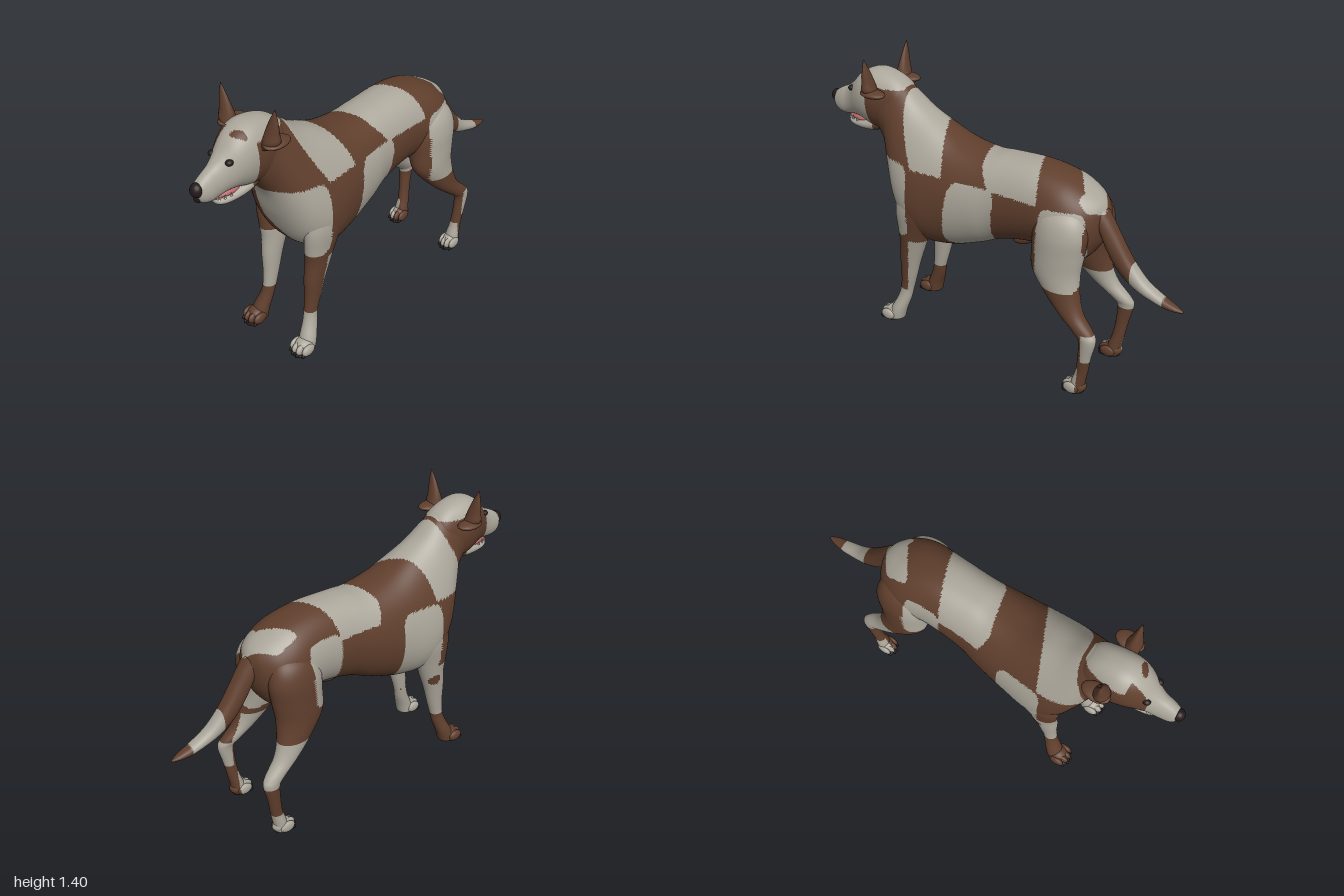
import * as THREE from 'three';

const mat = (name, color) => {
  const m = new THREE.MeshStandardMaterial({ color });
  m.name = name;
  return m;
};

// Rounded coat patches: centre xyz, half size xyz, slant of z along x, slant of z along y
const PATCHES = [
  [0.13, 0.735, 0.52, 0.20, 0.195, 0.125, 0, 0],        // chest
  [0.20, 0.73, 0.06, 0.17, 0.185, 0.122, 0, -0.15],     // left flank
  [0.20, 0.72, -0.438, 0.14, 0.195, 0.108, 0, 0],       // left thigh
  [-0.02, 0.985, -0.51, 0.10, 0.09, 0.065, -0.7, 0],    // rump
  [0.045, 0.945, -0.54, 0.06, 0.038, 0.05, 0, 0],       // tail root
  [-0.20, 0.79, -0.27, 0.15, 0.16, 0.095, 0, 0],        // right flank
  [-0.22, 0.70, 0.29, 0.11, 0.21, 0.12, 0, 0],          // right shoulder
  [0, 0.49, 0.34, 0.085, 0.045, 0.09, 0, 0],            // belly
];
const inPatch = (x, y, z) => PATCHES.some(([cx, cy, cz, hx, hy, hz, sx, sy]) => {
  const dx = x - cx, dy = y - cy, dz = z - cz - sx * dx - sy * dy;
  return (dx / hx) ** 6 + (dy / hy) ** 6 + (dz / hz) ** 6 < 1;
});

// True where the coat is pale
function torsoCoat(x, y, z) {
  if (z > 0.42 && y > 0.53 && y < 0.64 - 0.9 * x) return false;
  const lean = 0.05 + (x > 0 ? 1.6 : 2.9) * x;
  const neck = y > 0.915 && z > 0.29 - 0.47 * x && z < 0.5 - (1.25 - y) * lean;
  const back = y > 0.91 && z < 0.045 - 0.27 * x - 0.5 * Math.max(0, 1 - y) && z > -0.245 - 0.4 * x;
  return neck || back || inPatch(x, y, z);
}
function headCoat(x, y, z) {
  const streak = ((x - 0.045) / 0.035) ** 2 + ((z - 0.755 + 0.4 * (x - 0.045)) / 0.018) ** 2 < 1 && y > 1.2;
  if (streak) return false;
  if (y > 1.237 && z > 0.518 && z < 0.74) return true;
  if (x < -0.04 && z < 0.84) return false;
  return z > 0.71;
}
const tailCoat = (x, y, z) => z < -0.74 && z > -0.905;
function foreCoat(x, y, z) {
  if (y > 0.54) return torsoCoat(x, y, z);
  if (x < 0) return y > 0.2 && !(x < -0.16 && Math.hypot(y - 0.45, z - 0.4) < 0.032);
  return y < 0.2 || (y < 0.52 && (z < 0.475 - 0.14 * y || x < 0.11));
}
function hindCoat(x, y, z) {
  if (y > 0.53) return torsoCoat(x, y, z);
  if (x < 0) return y < 0.12 ? x < -0.175 : y > 0.3 && y < 0.5;
  if (y < 0.15) return z > -0.578;
  return (y > 0.2 && y < 0.35 && z < -0.595) || (y > 0.3 && y < 0.5 && x < 0.145);
}

// Sort triangles into a brown group and a pale group
function paint(geo, coat) {
  const p = geo.attributes.position, ix = geo.index.array, lists = [[], []];
  const mean = (f, t) => (p[f](ix[t]) + p[f](ix[t + 1]) + p[f](ix[t + 2])) / 3;
  for (let t = 0; t < ix.length; t += 3) {
    const pale = coat(mean('getX', t), mean('getY', t), mean('getZ', t));
    lists[pale ? 1 : 0].push(ix[t], ix[t + 1], ix[t + 2]);
  }
  geo.setIndex(lists.flat());
  geo.clearGroups();
  geo.addGroup(0, lists[0].length, 0);
  geo.addGroup(lists[0].length, lists[1].length, 1);
  return geo;
}

// Smooth skin over cross-sections; place(row, angle) gives a point on a section
function loft(rows, sub, seg, place) {
  const pos = [], idx = [], n = rows.length - 1;
  const at = i => rows[Math.max(0, Math.min(n, i))];
  const rings = [];
  for (let s = 0; s <= n * sub; s++) {
    const i = Math.min(n - 1, Math.floor(s / sub)), t = s / sub - i;
    rings.push(rows[0].map((_, k) => {
      const a = at(i - 1)[k], b = at(i)[k], c = at(i + 1)[k], d = at(i + 2)[k];
      return b + 0.5 * t * (c - a + t * (2 * a - 5 * b + 4 * c - d + t * (3 * (b - c) + d - a)));
    }));
  }
  rings.forEach((r, i) => {
    for (let j = 0; j < seg; j++) {
      pos.push(...place(r, j / seg * Math.PI * 2));
      if (i === rings.length - 1) continue;
      const a = i * seg + j, b = i * seg + (j + 1) % seg;
      idx.push(a, b, a + seg, b, b + seg, a + seg);
    }
  });
  // End caps
  const last = (rings.length - 1) * seg;
  for (let j = 1; j < seg - 1; j++) idx.push(0, j + 1, j, last, last + j, last + j + 1);
  const geo = new THREE.BufferGeometry();
  geo.setAttribute('position', new THREE.Float32BufferAttribute(pos, 3));
  geo.setIndex(idx);
  geo.computeVertexNormals();
  return geo;
}
// Upright section: [z, bottom, top, half width, taper toward top, x shift]
const upright = ([z, lo, hi, w, taper, cx], a) => {
  const c = Math.cos(a), s = Math.sin(a);
  return [cx + Math.sign(c) * Math.abs(c) ** 0.85 * w * (1 - taper * s), (lo + hi) / 2 + (hi - lo) / 2 * s, z];
};
// Level section: [y, x, z, half width, half depth]
const level = side => ([y, x, z, rx, rz], a) => [side * x + rx * Math.cos(a), y, z + rz * Math.sin(a)];

export function createModel() {
  const dog = new THREE.Group();
  dog.name = 'dog';
  const brown = mat('brown coat', 0x603f2d), pale = mat('pale coat', 0xaca79b);
  const dark = mat('nose and claws', 0x231a18), pink = mat('tongue', 0xb8686a), ivory = mat('teeth', 0xd8d3c4);
  const coatMats = [brown, pale];
  const add = (name, geo, material, parent = dog) => {
    const m = new THREE.Mesh(geo, material);
    m.name = name;
    parent.add(m);
    return m;
  };
  const ball = (x, y, z, rx, ry, rz, d = 16) =>
    new THREE.SphereGeometry(1, d, d * 0.75).scale(rx, ry, rz).translate(x, y, z);

  // Torso and neck
  add('torso', paint(loft([
    [-0.585, 0.80, 0.91, 0.04, 0, 0], [-0.56, 0.72, 0.945, 0.10, 0, 0], [-0.50, 0.64, 0.985, 0.16, 0, 0],
    [-0.40, 0.63, 1.03, 0.183, 0, 0], [-0.25, 0.65, 1.056, 0.172, 0, 0], [-0.07, 0.61, 1.048, 0.175, 0, 0],
    [0.05, 0.555, 1.036, 0.195, 0, 0], [0.20, 0.50, 1.06, 0.213, 0.05, 0], [0.33, 0.488, 1.12, 0.222, 0.2, 0],
    [0.42, 0.52, 1.17, 0.212, 0.27, 0], [0.50, 0.60, 1.235, 0.182, 0.3, 0], [0.56, 0.74, 1.275, 0.142, 0.22, 0],
    [0.60, 0.88, 1.285, 0.116, 0.1, 0], [0.65, 0.965, 1.29, 0.102, 0, 0], [0.69, 1.0, 1.27, 0.09, 0, 0],
  ], 16, 120, upright), (x, y, z) => headCoat(x, y, z) || torsoCoat(x, y, z)), coatMats);
  add('bellyFold', ball(0, 0, 0, 0.028, 0.03, 0.075).rotateX(0.45).translate(0, 0.622, -0.155), brown);

  // Skull and muzzle
  add('head', paint(loft([
    [0.50, 1.08, 1.225, 0.06, 0, 0], [0.54, 1.04, 1.265, 0.092, 0, 0], [0.60, 1.0, 1.295, 0.106, 0, 0],
    [0.68, 0.995, 1.308, 0.113, -0.05, 0], [0.74, 1.01, 1.296, 0.106, -0.05, 0.004], [0.79, 1.028, 1.265, 0.089, 0, 0.008],
    [0.84, 1.031, 1.213, 0.065, 0.05, 0.01], [0.88, 1.025, 1.18, 0.053, 0.1, 0.01], [0.92, 1.022, 1.16, 0.047, 0.1, 0.012],
    [0.955, 1.033, 1.14, 0.039, 0.1, 0.012], [0.972, 1.05, 1.122, 0.028, 0, 0.012], [0.98, 1.07, 1.11, 0.012, 0, 0.012],
  ], 9, 80, upright), headCoat), coatMats);
  add('lowerJaw', paint(loft([
    [0.66, 0.995, 1.06, 0.06, 0, 0.005], [0.72, 0.975, 1.04, 0.06, 0, 0.007], [0.78, 0.968, 1.024, 0.052, 0, 0.01],
    [0.84, 0.97, 1.013, 0.042, 0, 0.01], [0.875, 0.98, 1.012, 0.03, 0, 0.01], [0.887, 0.99, 1.007, 0.012, 0, 0.01],
  ], 6, 32, upright), (x, y, z) => z > 0.71), coatMats);
  add('mouthLining', ball(0.01, 1.018, 0.80, 0.036, 0.02, 0.075), pink);
  add('tongue', ball(0.01, 1.014, 0.84, 0.024, 0.012, 0.055), pink);
  add('nose', ball(0.013, 1.1, 0.97, 0.03, 0.034, 0.03, 24), dark);
  add('noseGroove', ball(0.013, 1.063, 0.966, 0.018, 0.026, 0.021), dark);

  for (const s of [1, -1]) {
    const side = s > 0 ? 'left' : 'right';
    add(side + 'Eye', ball(0.01 + s * 0.053, 1.187, 0.829, 0.017, 0.014, 0.019), dark);
    for (const [x, z] of [[0.024, 0.875], [0.034, 0.85], [0.04, 0.82]])
      add(side + 'Tooth', new THREE.ConeGeometry(0.006, 0.02, 6).translate(0.01 + s * x, 1.018, z), ivory);

    // Pointed ear with a tuft at its base
    add(side + 'Ear', loft([
      [1.4, 0.163, 0.655, 0.002, 0.002], [1.34, 0.151, 0.655, 0.023, 0.014],
      [1.28, 0.139, 0.655, 0.037, 0.026], [1.24, 0.134, 0.655, 0.043, 0.036], [1.2, 0.11, 0.65, 0.03, 0.04],
    ], 4, 20, level(s)), brown);
    add(side + 'EarTuft', ball(s * 0.138, 1.224, 0.632, 0.045, 0.019, 0.07), brown);

    // Legs, from the shoulder or hip down
    add(side + 'Foreleg', paint(loft([
      [0.86, 0.135, 0.35, 0.03, 0.05], [0.80, 0.15, 0.36, 0.06, 0.1], [0.68, 0.157, 0.38, 0.066, 0.115],
      [0.56, 0.15, 0.403, 0.058, 0.09], [0.48, 0.145, 0.415, 0.053, 0.072], [0.38, 0.142, 0.437, 0.045, 0.058],
      [0.28, 0.14, 0.452, 0.037, 0.044], [0.20, 0.14, 0.467, 0.032, 0.036], [0.14, 0.147, 0.482, 0.034, 0.037],
      [0.07, 0.16, 0.51, 0.042, 0.042], [0.015, 0.163, 0.525, 0.044, 0.042],
    ], 9, 40, level(s)), foreCoat), coatMats);
    add(side + 'HindLeg', paint(loft([
      [0.94, 0.09, -0.42, 0.03, 0.05], [0.88, 0.112, -0.42, 0.075, 0.11], [0.80, 0.125, -0.42, 0.09, 0.135],
      [0.70, 0.13, -0.413, 0.09, 0.132], [0.60, 0.14, -0.412, 0.081, 0.122], [0.50, 0.157, -0.457, 0.063, 0.09],
      [0.42, 0.17, -0.513, 0.049, 0.066], [0.35, 0.182, -0.588, 0.038, 0.056], [0.31, 0.188, -0.614, 0.032, 0.044],
      [0.22, 0.186, -0.604, 0.028, 0.033], [0.13, 0.18, -0.59, 0.028, 0.031], [0.07, 0.178, -0.575, 0.035, 0.034],
      [0.015, 0.177, -0.567, 0.038, 0.036],
    ], 9, 40, level(s)), hindCoat), coatMats);

    // Paws with four toes, claws and a sole
    for (const [name, x, z, w, coat] of [['ForePaw', 0.165, 0.57, 1, foreCoat], ['HindPaw', 0.177, -0.535, 0.82, hindCoat]]) {
      const paw = new THREE.Group();
      paw.name = side + name;
      dog.add(paw);
      add('instep', paint(ball(s * x, 0.04, z - 0.03, 0.046 * w, 0.036, 0.05, 20), coat), coatMats, paw);
      add('sole', ball(s * x, 0.009, z - 0.012, 0.05 * w, 0.009, 0.055), dark, paw);
      [-1.5, -0.5, 0.5, 1.5].forEach(k => {
        const tx = s * x + k * 0.027 * w, tz = z - (Math.abs(k) > 1 ? 0.014 : 0);
        add('toe', paint(ball(tx, 0.034, tz, 0.017 * w, 0.029, 0.04), coat), coatMats, paw);
        add('claw', ball(tx, 0.014, tz + 0.034, 0.007, 0.011, 0.014, 8), dark, paw);
      });
    }
  }

  // Tail
  add('tail', paint(loft([
    [-1.0, 0.515, 0.523, 0.005, 0, 0.02], [-0.96, 0.512, 0.54, 0.021, 0, 0.02], [-0.90, 0.517, 0.563, 0.031, 0, 0.018],
    [-0.82, 0.538, 0.605, 0.037, 0, 0.016], [-0.77, 0.555, 0.65, 0.04, 0, 0.014], [-0.72, 0.583, 0.71, 0.043, 0, 0.012],
    [-0.66, 0.635, 0.80, 0.046, 0, 0.01], [-0.61, 0.71, 0.875, 0.05, 0, 0.008], [-0.56, 0.81, 0.935, 0.054, 0, 0.004],
    [-0.50, 0.87, 0.975, 0.05, 0, 0],
  ], 8, 32, upright), (x, y, z) => tailCoat(x, y, z) || (z > -0.6 && torsoCoat(x, y, z))), coatMats);
  return dog;
}
